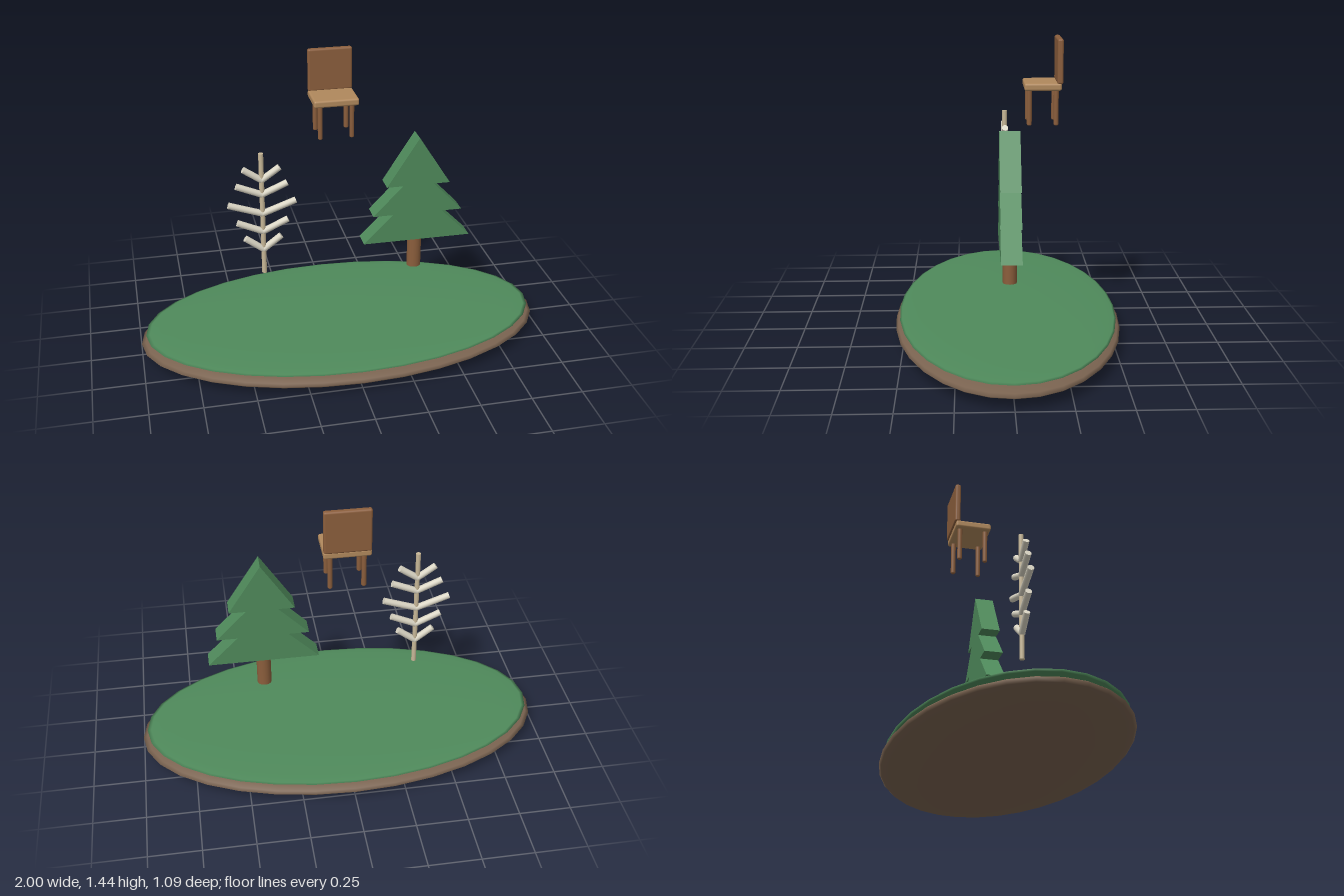
import * as THREE from 'three';
import { RoundedBoxGeometry } from 'three/addons/geometries/RoundedBoxGeometry.js';

const mat = (color) => new THREE.MeshStandardMaterial({ color });
const wood = mat(0x8b5e3c), seatWood = mat(0xb0885c), soil = mat(0x7a6350);
const leaf = mat(0x4f8a5b), bark = mat(0xc8b898), pale = mat(0xd9d4c3);

function add(parent, name, geometry, material, x = 0, y = 0, z = 0) {
  const mesh = new THREE.Mesh(geometry, material);
  mesh.name = name;
  mesh.position.set(x, y, z);
  parent.add(mesh);
  return mesh;
}

function group(parent, name, x, y, z) {
  const g = new THREE.Group();
  g.name = name;
  g.position.set(x, y, z);
  parent.add(g);
  return g;
}

// Cylinder running from point a to point b
function rod(parent, name, a, b, radius, material) {
  const dir = b.clone().sub(a);
  const mesh = add(parent, name, new THREE.CylinderGeometry(radius, radius, dir.length(), 12), material);
  mesh.position.copy(a).add(b).multiplyScalar(0.5);
  mesh.quaternion.setFromUnitVectors(new THREE.Vector3(0, 1, 0), dir.normalize());
}

// Oval island: flattened soil with a thinner grass lens on top
function buildIsland(parent) {
  const island = group(parent, 'island', 0, 0, 0);
  const ball = new THREE.SphereGeometry(1, 32, 16);
  add(island, 'soil', ball, soil, 0, 0.06, 0).scale.set(1, 0.06, 0.546);
  add(island, 'grass', ball, leaf, 0, 0.106, 0).scale.set(0.976, 0.018, 0.527);
}

// Flat three-tier pine with a round trunk
function buildPine(parent) {
  const pine = group(parent, 'pineTree', 0.375, 0, 0);
  const half = [[0.268, 0.517], [0.123, 0.662], [0.222, 0.662], [0.077, 0.812], [0.157, 0.812]];
  const outline = [
    ...half.map(([x, y]) => new THREE.Vector2(x, y)),
    new THREE.Vector2(0, 1.056),
    ...half.map(([x, y]) => new THREE.Vector2(-x, y)).reverse(),
  ];
  const geo = new THREE.ExtrudeGeometry(new THREE.Shape(outline), { depth: 0.094, bevelEnabled: false });
  add(pine, 'foliage', geo, leaf, 0, 0, -0.047);
  add(pine, 'trunk', new THREE.CylinderGeometry(0.035, 0.035, 0.18, 16), wood, 0, 0.443, 0).scale.z = 0.93;
}

// Bare tree: thin stem with five pairs of rising branches
function buildBareTree(parent) {
  const tree = group(parent, 'bareTree', -0.38, 0, 0);
  add(tree, 'stem', new THREE.CylinderGeometry(0.012, 0.012, 0.63, 12), bark, 0, 0.711, 0);
  const pairs = [[0.523, 0.087, 0.589], [0.62, 0.122, 0.675], [0.715, 0.162, 0.772], [0.815, 0.122, 0.867], [0.89, 0.087, 0.95]];
  for (const [rootY, tipX, tipY] of pairs) {
    for (const side of [-1, 1]) {
      rod(tree, 'branch', new THREE.Vector3(0, rootY, 0), new THREE.Vector3(side * tipX, tipY, 0), 0.016, pale);
    }
  }
}

// Chair with softened edges, facing +z
function buildChair(parent) {
  const chair = group(parent, 'chair', 0, 0, -0.165);
  add(chair, 'seat', new RoundedBoxGeometry(0.218, 0.035, 0.174, 3, 0.01), seatWood, 0, 1.212, 0);
  add(chair, 'backrest', new RoundedBoxGeometry(0.216, 0.211, 0.028, 3, 0.01), wood, 0, 1.33, -0.08);
  const legProfile = [[0, 1.028], [0.008, 1.029], [0.0118, 1.034], [0.0118, 1.2]]
    .map(([r, y]) => new THREE.Vector2(r, y));
  const leg = new THREE.LatheGeometry(legProfile, 12);
  for (const x of [-0.077, 0.077]) {
    for (const z of [-0.063, 0.063]) add(chair, 'leg', leg, wood, x, 0, z);
  }
}

export function createModel() {
  const model = new THREE.Group();
  model.name = 'islandScene';
  buildIsland(model);
  buildPine(model);
  buildBareTree(model);
  buildChair(model);
  return model;
}
